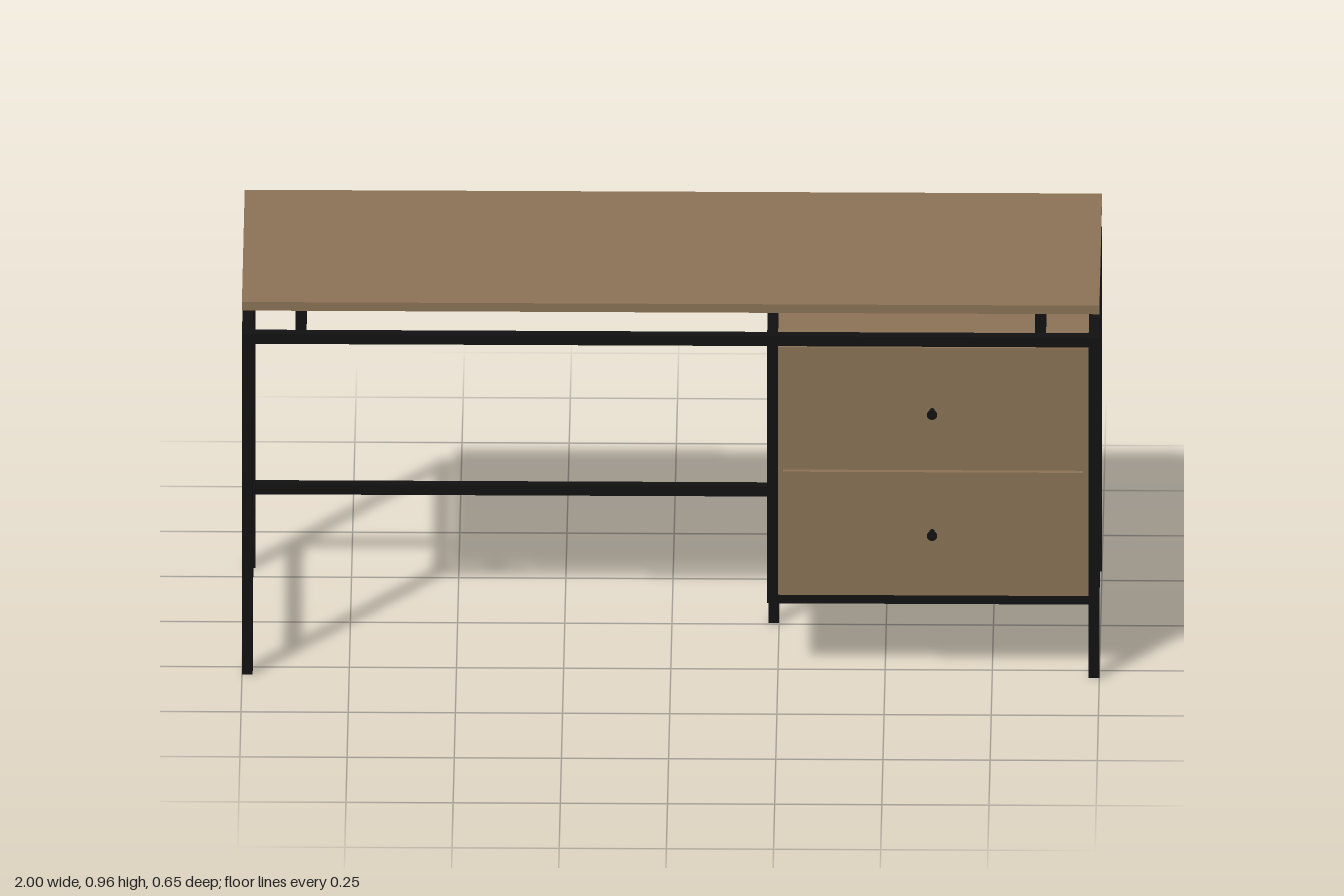
import * as THREE from 'three';

export function createModel() {
  const desk = new THREE.Group();
  desk.name = 'desk';
  const wood = new THREE.MeshStandardMaterial({ color: 0x8b7355 });
  wood.name = 'brownWood';
  const metal = new THREE.MeshStandardMaterial({ color: 0x111111 });
  metal.name = 'blackMetal';

  // Box given by its minimum and maximum corners
  function box(name, mat, [x0, y0, z0], [x1, y1, z1]) {
    const mesh = new THREE.Mesh(new THREE.BoxGeometry(x1 - x0, y1 - y0, z1 - z0), mat);
    mesh.position.set((x0 + x1) / 2, (y0 + y1) / 2, (z0 + z1) / 2);
    mesh.name = name;
    desk.add(mesh);
    return mesh;
  }

  const T = 0.025;                  // square tube width
  const H = T / 2;
  const front = 0.28, back = -0.3125; // tube centre lines
  const endX = 0.9875, midX = 0.2375;
  const lowY = 0.2015, topY = 0.8625;

  const post = (name, x, z, y0, y1) =>
    box(name, metal, [x - H, y0, z - H], [x + H, y1, z + H]);
  const railX = (name, x0, x1, y, z) =>
    box(name, metal, [x0 + H, y - H, z - H], [x1 - H, y + H, z + H]);
  const railZ = (name, x, y) =>
    box(name, metal, [x - H, y - H, back + H], [x + H, y + H, front - H]);

  // Table top
  box('tableTop', wood, [-1, 0.938, -0.325], [1, 0.96, 0.298]);

  // Corner legs and end rails
  for (const x of [-endX, endX]) {
    for (const z of [front, back]) post('cornerLeg', x, z, 0, topY + H);
    railZ('upperEndRail', x, topY);
    railZ('lowerEndRail', x, lowY);
  }

  // Long rails; the lower front one runs only below the cabinet
  railX('upperFrontRail', -endX, endX, topY, front);
  railX('upperBackRail', -endX, endX, topY, back);
  railX('lowerBackRail', -endX, endX, lowY, back);
  railX('lowerFrontRail', midX - T, endX, lowY, front);

  // Inner cabinet frame and its single centre leg
  for (const z of [front, back]) post('cabinetPost', midX, z, lowY + H, topY - H);
  railZ('upperCabinetRail', midX, topY);
  railZ('lowerCabinetRail', midX, lowY);
  post('centreLeg', midX, -0.018, 0, lowY - H);

  // Cross bars carrying the raised top
  for (const x of [-0.8625, 0.8625]) {
    railZ('topCrossBar', x, topY);
    for (const z of [front - T, back + T]) post('topSupport', x, z, topY + H, 0.938);
  }

  // Cabinet body
  const cx0 = 0.25, cx1 = 0.975, cy0 = 0.2135, cy1 = 0.85;
  const depth = 0.012, frontZ = 0.298, backZ = -0.32;
  box('cabinetBody', wood, [cx0, cy0, backZ + depth], [cx1, cy1, frontZ - depth]);

  // Face plate with rectangular openings
  function plate(name, openings, z) {
    const rect = (C, x0, y0, x1, y1) => new C([
      new THREE.Vector2(x0, y0), new THREE.Vector2(x1, y0),
      new THREE.Vector2(x1, y1), new THREE.Vector2(x0, y1)]);
    const shape = rect(THREE.Shape, cx0, cy0, cx1, cy1);
    for (const [y0, y1] of openings)
      shape.holes.push(rect(THREE.Path, cx0 + 0.0125, y0, cx1 - 0.0125, y1));
    const mesh = new THREE.Mesh(
      new THREE.ExtrudeGeometry(shape, { depth, bevelEnabled: false }), wood);
    mesh.position.z = z;
    mesh.name = name;
    desk.add(mesh);
  }
  plate('drawerFronts', [[0.53, 0.544]], frontZ - depth);
  plate('cabinetBackBorder', [[cy0 + 0.0125, 0.53], [0.544, cy1 - 0.0125]], backZ);

  // Drawer knobs: slim stem with a flat disc
  for (const y of [0.378, 0.689]) {
    const knob = new THREE.Group();
    knob.name = 'drawerKnob';
    for (const [name, r, z0, z1] of [['knobStem', 0.006, frontZ, 0.321], ['knobDisc', 0.012, 0.321, 0.325]]) {
      const mesh = new THREE.Mesh(new THREE.CylinderGeometry(r, r, z1 - z0, 24), metal);
      mesh.rotation.x = Math.PI / 2;
      mesh.position.z = (z0 + z1) / 2;
      mesh.name = name;
      knob.add(mesh);
    }
    knob.position.set(0.61, y, 0);
    desk.add(knob);
  }

  return desk;
}
